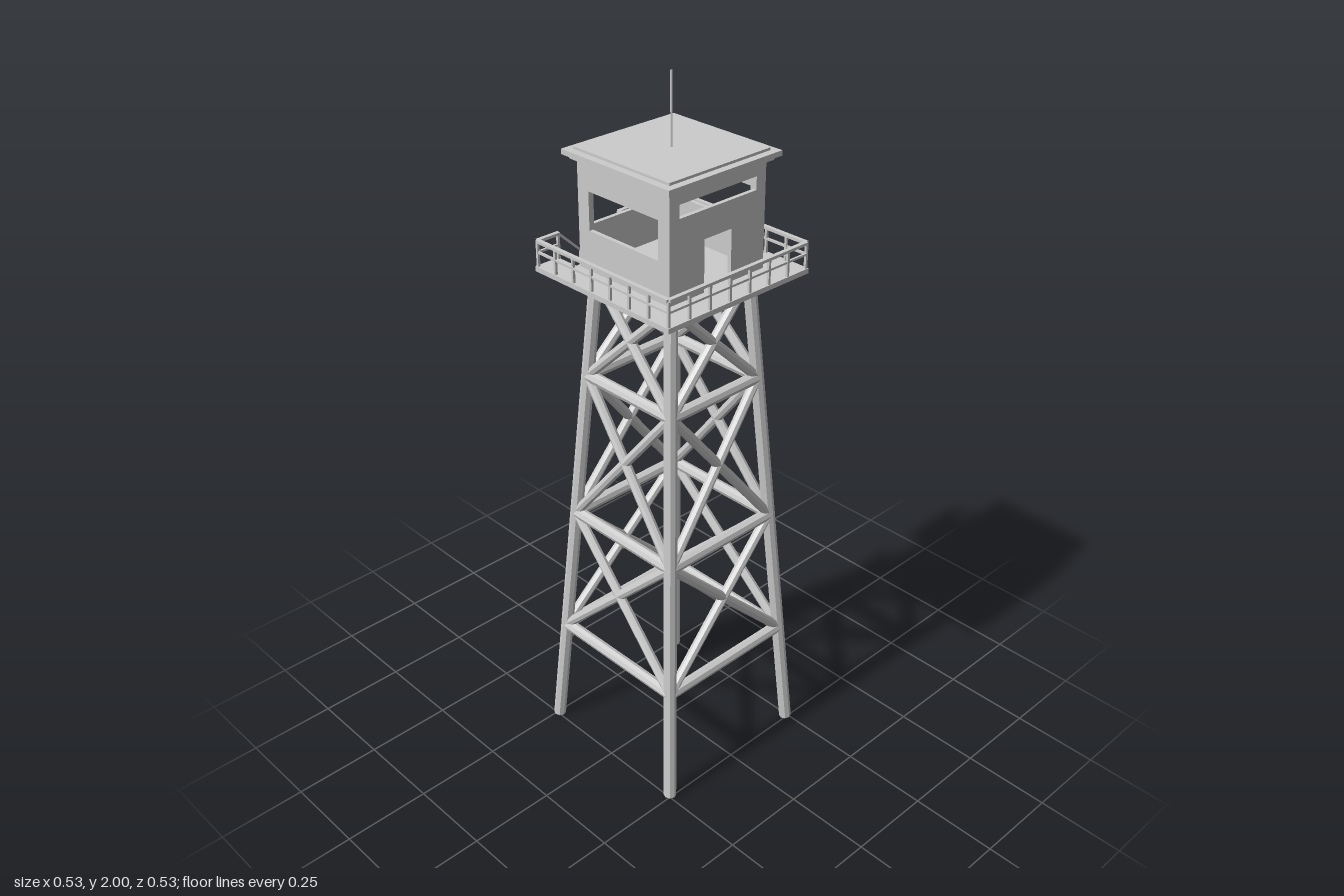
import * as THREE from 'three';

const mat = new THREE.MeshStandardMaterial({ color: 0xcccccc, flatShading: true });
const CX = -0.02, CZ = -0.016; // centre of platform and cabin
const DECK = 1.487;            // top of the platform
const V = (x, y, z) => new THREE.Vector3(x, y, z);

function add(parent, name, geo, x = 0, y = 0, z = 0) {
  const m = new THREE.Mesh(geo, mat);
  m.name = name;
  m.position.set(x, y, z);
  parent.add(m);
  return m;
}

// Round pole between two points
function pole(parent, name, a, b, r, sides = 8) {
  const m = add(parent, name, new THREE.CylinderGeometry(r, r, a.distanceTo(b), sides));
  m.position.copy(a).lerp(b, 0.5);
  m.quaternion.setFromUnitVectors(V(0, 1, 0), b.clone().sub(a).normalize());
  return m;
}

// Square bar between two points
function bar(parent, name, a, b, w, h) {
  const m = add(parent, name, new THREE.BoxGeometry(w, h, a.distanceTo(b)));
  m.position.copy(a).lerp(b, 0.5);
  m.lookAt(b);
  return m;
}

function rectPath(x0, x1, y0, y1) {
  return new THREE.Path([[x0, y0], [x0, y1], [x1, y1], [x1, y0]].map(p => new THREE.Vector2(...p)));
}

// Four leaning legs, rings of beams and crossed braces
function buildTower(group) {
  const tower = new THREE.Group();
  tower.name = 'tower';
  const topY = 1.475;
  const corners = [[1, 1], [1, -1], [-1, -1], [-1, 1]];
  const at = (i, y) => {
    const [sx, sz] = corners[i % 4], t = y / topY;
    const half = THREE.MathUtils.lerp(0.244, 0.138, t), shift = -0.014 * t;
    return V(sx * half + shift, y, sz * half + shift);
  };
  const levels = [0.345, 0.74, 1.175, 1.465];
  for (let i = 0; i < 4; i++) {
    pole(tower, 'leg', at(i, 0.004), at(i, topY), 0.018);
    levels.forEach((y, k) => {
      if (k === 3) return;
      pole(tower, 'ringBeam', at(i, y), at(i + 1, y), 0.017);
      pole(tower, 'crossBrace', at(i, y), at(i + 1, levels[k + 1]), 0.014);
      pole(tower, 'crossBrace', at(i + 1, y), at(i, levels[k + 1]), 0.014);
    });
  }
  group.add(tower);
}

// Deck with a notch for the stair
function buildPlatform(group) {
  const pts = [[-0.266, -0.264], [0.228, -0.264], [0.228, 0.232], [-0.266, 0.232],
    [-0.266, 0.155], [-0.195, 0.155], [-0.195, -0.045], [-0.266, -0.045]];
  const shape = new THREE.Shape(pts.map(p => new THREE.Vector2(...p)));
  const geo = new THREE.ExtrudeGeometry(shape, { depth: 0.014, bevelEnabled: false });
  geo.rotateX(Math.PI / 2);
  add(group, 'platform', geo, 0, DECK, 0);
}

// Two rails on posts around the deck, open at the stair
function buildRailing(group) {
  const railing = new THREE.Group();
  railing.name = 'railing';
  const path = [[-0.19, -0.051], [-0.26, -0.051], [-0.26, -0.258], [0.222, -0.258],
    [0.222, 0.226], [-0.26, 0.226], [-0.26, 0.155]];
  for (let i = 0; i + 1 < path.length; i++) {
    const [ax, az] = path[i], [bx, bz] = path[i + 1];
    bar(railing, 'topRail', V(ax, 1.557, az), V(bx, 1.557, bz), 0.012, 0.008);
    bar(railing, 'midRail', V(ax, 1.526, az), V(bx, 1.526, bz), 0.006, 0.006);
    const n = Math.max(1, Math.round(Math.hypot(bx - ax, bz - az) / 0.068));
    for (let k = i ? 0 : 1; k < n; k++) {
      const t = k / n;
      add(railing, 'railPost', new THREE.BoxGeometry(0.007, 0.07, 0.007),
        ax + (bx - ax) * t, 1.52, az + (bz - az) * t);
    }
  }
  add(railing, 'railPost', new THREE.BoxGeometry(0.007, 0.07, 0.007), -0.26, 1.52, 0.158);
  group.add(railing);
}

// Short stair going down through the notch
function buildStair(group) {
  const stair = new THREE.Group();
  stair.name = 'stair';
  for (const x of [-0.261, -0.202]) {
    bar(stair, 'stringer', V(x, 1.483, 0.157), V(x, 1.412, 0.082), 0.005, 0.01);
  }
  bar(stair, 'handrail', V(-0.261, 1.557, 0.157), V(-0.261, 1.487, 0.082), 0.006, 0.006);
  bar(stair, 'handrailPost', V(-0.261, 1.487, 0.084), V(-0.261, 1.414, 0.084), 0.005, 0.005);
  for (let i = 0; i < 3; i++) {
    add(stair, 'step', new THREE.BoxGeometry(0.059, 0.005, 0.013), -0.2315, 1.433 + i * 0.021, 0.105 + i * 0.022);
  }
  group.add(stair);
}

// Cabin walls with openings, stepped roof and mast
function buildCabin(group) {
  const cabin = new THREE.Group();
  cabin.name = 'cabin';
  cabin.position.set(CX, 0, CZ);
  const half = 0.165, t = 0.012, top = 1.785;
  const wall = (name, angle, w, holes, door) => {
    const s = new THREE.Shape();
    s.moveTo(-w, DECK);
    if (door) {
      s.lineTo(-door, DECK); s.lineTo(-door, 1.63);
      s.lineTo(door, 1.63); s.lineTo(door, DECK);
    }
    s.lineTo(w, DECK); s.lineTo(w, top); s.lineTo(-w, top);
    s.closePath();
    s.holes.push(...holes);
    const geo = new THREE.ExtrudeGeometry(s, { depth: t, bevelEnabled: false });
    geo.translate(0, 0, half - t);
    add(cabin, name, geo).rotation.y = angle;
  };
  const win = () => [rectPath(-0.125, 0.125, 1.597, 1.702)];
  wall('frontWall', 0, half, win());
  wall('backWall', Math.PI, half, win());
  wall('rightWall', -Math.PI / 2, half - t, win());
  wall('doorWall', Math.PI / 2, half - t, [rectPath(-0.132, 0.132, 1.707, 1.743)], 0.047);
  // Roof layers: [name, width, bottom, top]
  for (const [name, w, y0, y1] of [['roofTrim', 0.356, 1.777, 1.788],
    ['roofSlab', 0.384, 1.788, 1.802], ['roofCap', 0.342, 1.802, 1.809]]) {
    add(cabin, name, new THREE.BoxGeometry(w, y1 - y0, w), 0, (y0 + y1) / 2, 0);
  }
  pole(cabin, 'mast', V(0, 1.805, 0), V(0, 2, 0), 0.003);
  group.add(cabin);
}

export function createModel() {
  const group = new THREE.Group();
  group.name = 'watchtower';
  buildTower(group);
  buildPlatform(group);
  buildRailing(group);
  buildStair(group);
  buildCabin(group);
  return group;
}
